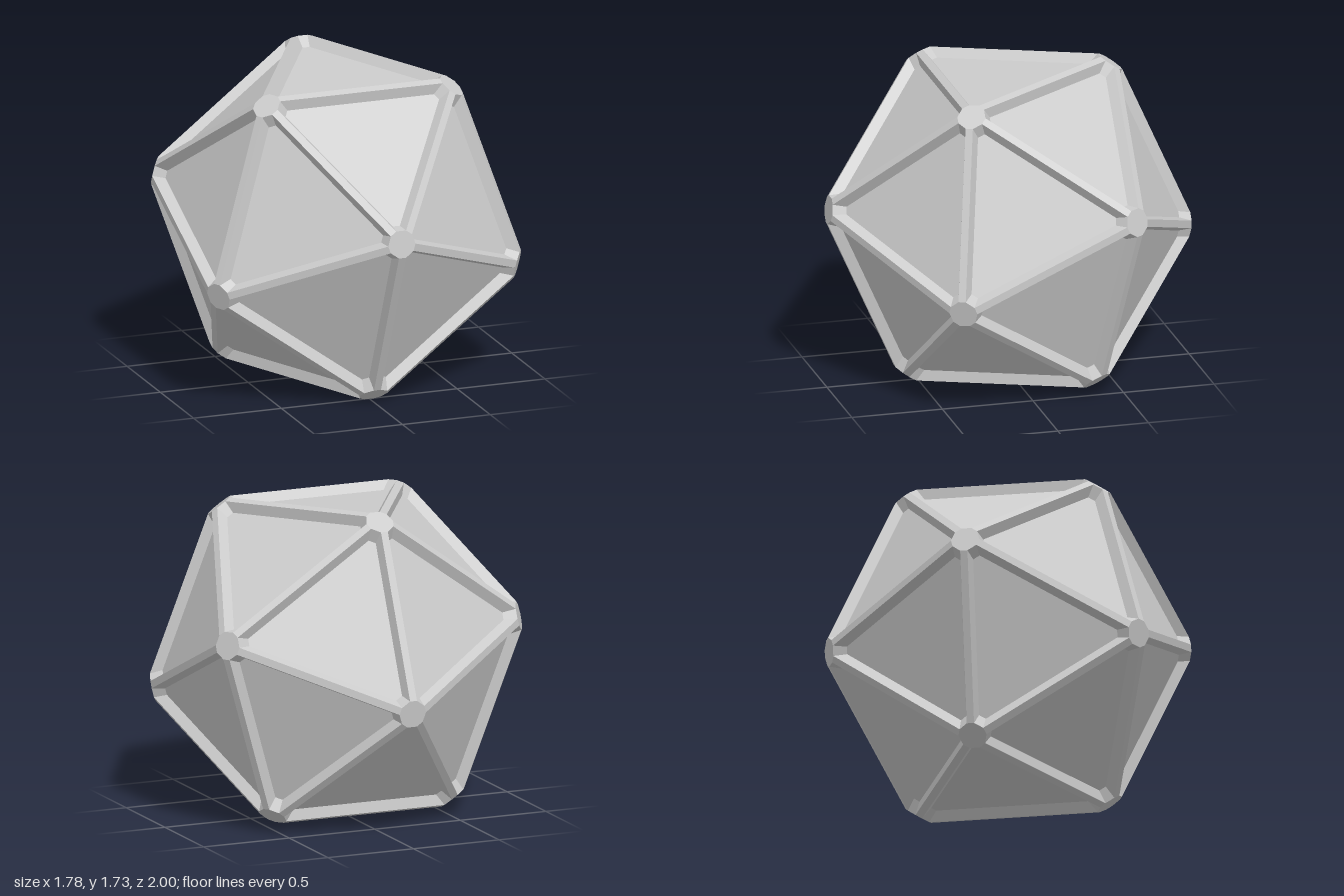
import * as THREE from 'three';

const EDGE_R = 0.89;     // centre to the flat top of an edge bar
const HUB_R = 1.0;       // centre to the flat corner hubs
const HALF_BAR = 0.02;   // half width of a bar's flat top
const PANEL_R = 0.79;    // centre to the sunken panels
const PANEL_IN = 0.264;  // inradius of a panel triangle
const CHOP = 0.035;      // amount cut off each panel corner

// Corner directions of a regular icosahedron
function cornerDirections() {
  const phi = (1 + Math.sqrt(5)) / 2, dirs = [];
  for (const a of [-1, 1]) for (const b of [-phi, phi]) {
    dirs.push(new THREE.Vector3(a, b, 0), new THREE.Vector3(0, a, b), new THREE.Vector3(b, 0, a));
  }
  return dirs.map((d) => d.normalize().applyAxisAngle(new THREE.Vector3(1, 0, 0), 0.419));
}

// Adds a convex polygon as a fan; corners are sorted round the outward direction
function addPolygon(out, points, outward) {
  const mid = points.reduce((s, p) => s.add(p), new THREE.Vector3()).divideScalar(points.length);
  const a = points[0].clone().sub(mid);
  a.addScaledVector(outward, -a.dot(outward)).normalize();
  const b = outward.clone().cross(a);
  const angle = (p) => Math.atan2(p.clone().sub(mid).dot(b), p.clone().sub(mid).dot(a));
  const ring = [...points].sort((p, q) => angle(p) - angle(q));
  for (let i = 1; i < ring.length - 1; i++) {
    for (const p of [ring[0], ring[i], ring[i + 1]]) out.push(p.x, p.y, p.z);
  }
}

// One corner of a bar's flat top, at the end next to corner v, on the side facing 'side'
function barCorner(v, u, side) {
  const m = v.clone().add(u).normalize();
  const e = u.clone().sub(v).normalize();
  const s = m.clone().cross(e);
  if (s.dot(side) < 0) s.negate();
  const t = (HUB_R - EDGE_R * v.dot(m)) / v.dot(e);
  return m.multiplyScalar(EDGE_R).addScaledVector(s, HALF_BAR).addScaledVector(e, t);
}

export function createModel() {
  const dirs = cornerDirections();
  const joined = (a, b) => a !== b && a.dot(b) > 0.4;
  const parts = { cornerHubs: [], edgeBars: [], recessWalls: [], panels: [] };

  // Flat ten-sided hub on each corner
  for (const v of dirs) {
    const ring = [];
    for (const u of dirs.filter((d) => joined(v, d))) {
      const s = v.clone().cross(u);
      ring.push(barCorner(v, u, s), barCorner(v, u, s.clone().negate()));
    }
    addPolygon(parts.cornerHubs, ring, v);
  }

  // Flat-topped bar along each edge
  dirs.forEach((v, i) => dirs.slice(i + 1).filter((u) => joined(v, u)).forEach((u) => {
    const s = v.clone().cross(u), r = s.clone().negate();
    addPolygon(parts.edgeBars,
      [barCorner(v, u, s), barCorner(v, u, r), barCorner(u, v, s), barCorner(u, v, r)],
      v.clone().add(u).normalize());
  }));

  // Sunken panel with sloping walls in each face
  for (let i = 0; i < 12; i++) for (let j = i + 1; j < 12; j++) for (let k = j + 1; k < 12; k++) {
    const tri = [dirs[i], dirs[j], dirs[k]];
    if (!joined(tri[0], tri[1]) || !joined(tri[1], tri[2]) || !joined(tri[0], tri[2])) continue;
    const n = tri[0].clone().add(tri[1]).add(tri[2]).normalize();
    const rim = [], floor = [];
    tri.forEach((v, c) => {
      const toCorner = v.clone().addScaledVector(n, -v.dot(n)).normalize();
      for (const u of [tri[(c + 2) % 3], tri[(c + 1) % 3]]) {
        const q = n.clone().cross(toCorner);
        if (q.dot(u) < 0) q.negate();
        rim.push(barCorner(v, u, n));
        floor.push(n.clone().multiplyScalar(PANEL_R)
          .addScaledVector(toCorner, 2 * PANEL_IN - CHOP)
          .addScaledVector(q, CHOP * Math.tan(Math.PI / 6)));
      }
    });
    for (let a = 0; a < 6; a++) {
      const b = (a + 1) % 6;
      addPolygon(parts.recessWalls, [rim[a], rim[b], floor[b], floor[a]], n);
    }
    addPolygon(parts.panels, floor, n);
  }

  const model = new THREE.Group();
  model.name = 'framedIcosahedron';
  const material = new THREE.MeshStandardMaterial({ color: 0xcccccc, flatShading: true });
  for (const [name, positions] of Object.entries(parts)) {
    const geometry = new THREE.BufferGeometry();
    geometry.setAttribute('position', new THREE.Float32BufferAttribute(positions, 3));
    geometry.computeVertexNormals();
    const mesh = new THREE.Mesh(geometry, material);
    mesh.name = name;
    model.add(mesh);
  }

  // Stand the solid on the ground
  const lift = -new THREE.Box3().setFromObject(model).min.y;
  model.children.forEach((mesh) => mesh.geometry.translate(0, lift, 0));
  return model;
}
